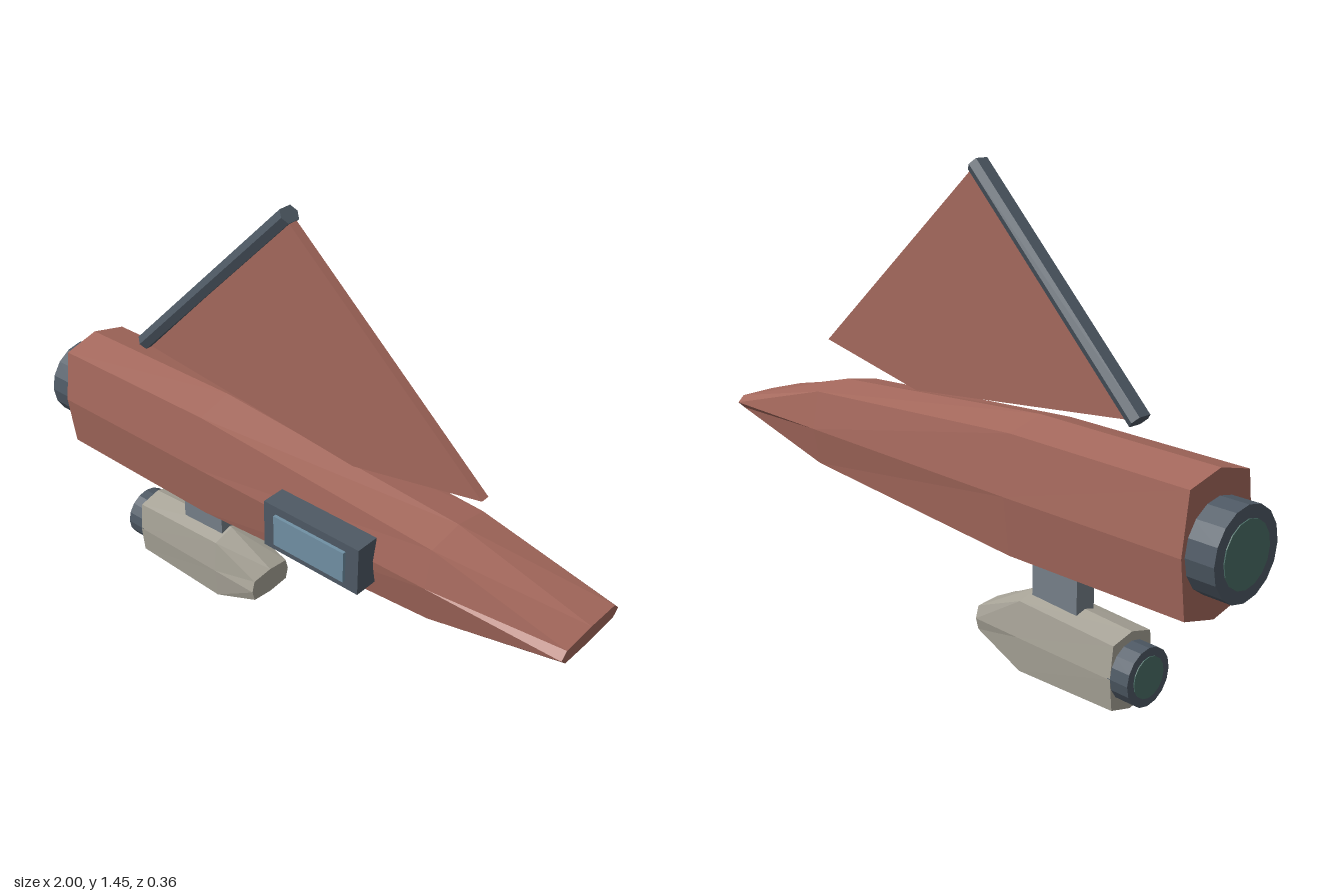
import * as THREE from 'three';

const ZC = -0.037; // centre plane of the hull
const mat = (color) => new THREE.MeshStandardMaterial({ color, flatShading: true });
const red = mat(0xa4685c), dark = mat(0x4e5964), strut = mat(0x757f88);
const stone = mat(0xa8a498), glass = mat(0x7090a4), glow = mat(0x4a6e66);

function add(group, name, geometry, material, x = 0, y = 0, z = ZC) {
  const mesh = new THREE.Mesh(geometry, material);
  mesh.name = name;
  mesh.position.set(x, y, z);
  group.add(mesh);
  return mesh;
}

// Eight-sided body lofted along x; each ring is [x, top, bottom]
function loft(rings, halfWidth, cy, cz) {
  const section = [[1, 0], [cy, cz], [0, 1], [-cy, cz], [-1, 0], [-cy, -cz], [0, -1], [cy, -cz]];
  const pos = [], index = [], n = section.length;
  for (const [x, top, bottom] of rings) {
    const mid = (top + bottom) / 2, half = (top - bottom) / 2;
    for (const [y, z] of section) pos.push(x, mid + y * half, z * halfWidth);
  }
  const last = (rings.length - 1) * n;
  for (let j = 0; j < n; j++) {
    const k = (j + 1) % n;
    for (let r = 0; r < last; r += n) {
      index.push(r + j, r + k, r + n + j, r + k, r + n + k, r + n + j);
    }
    if (j > 0 && j < n - 1) index.push(0, k, j, last, last + j, last + k); // end caps
  }
  const g = new THREE.BufferGeometry();
  g.setAttribute('position', new THREE.Float32BufferAttribute(pos, 3));
  g.setIndex(index);
  const flat = g.toNonIndexed();
  flat.computeVertexNormals();
  return flat;
}

// Prism from an outline, centred in depth
function prism(points, depth) {
  const shape = new THREE.Shape(points.map(([x, y]) => new THREE.Vector2(x, y)));
  return new THREE.ExtrudeGeometry(shape, { depth, bevelEnabled: false }).translate(0, 0, -depth / 2);
}

// Exhaust drum with a glowing disc on its back
function engine(group, name, xBack, xFront, y, radius, discRadius) {
  const drum = (r, len) => new THREE.CylinderGeometry(r, r, len, 16).rotateZ(Math.PI / 2);
  const len = xFront - xBack;
  add(group, name + 'Drum', drum(radius, len), dark, xBack + len / 2, y);
  add(group, name + 'Glow', drum(discRadius, 0.02), glow, xBack + 0.007, y);
}

export function createModel() {
  const group = new THREE.Group();
  group.name = 'spacecraft';

  // Main hull, tapering to a wedge nose
  add(group, 'hull', loft([
    [-0.91, 0.77, 0.37], [-0.3, 0.775, 0.36], [0.57, 0.71, 0.43], [1, 0.595, 0.545],
  ], 0.141, 0.85, 0.84), red);
  engine(group, 'mainEngine', -0.997, -0.9, 0.57, 0.128, 0.092);

  // Pod hung below on a pylon
  add(group, 'pod', loft([
    [-0.65, 0.247, 0.02], [-0.3, 0.264, 0.004], [-0.13, 0.18, 0.09],
  ], 0.085, 0.83, 0.88), stone);
  engine(group, 'podEngine', -0.71, -0.64, 0.135, 0.085, 0.06);
  add(group, 'pylon', new THREE.BoxGeometry(0.17, 0.17, 0.07), strut, -0.395, 0.315);

  // Tail fin with a spar on its slanted back edge
  add(group, 'fin', prism([[-0.615, 0.83], [0.21, 0.745], [0.645, 0.83], [-0.035, 1.42]], 0.03), red);
  const spar = prism([
    [0.033, 0], [0.021, 0.023], [-0.021, 0.023], [-0.033, 0], [-0.021, -0.023], [0.021, -0.023],
  ], 0.857).rotateY(Math.PI / 2);
  add(group, 'finSpar', spar, dark, -0.348, 1.134).rotation.z = Math.PI / 4;

  // Side window
  add(group, 'windowFrame', new THREE.BoxGeometry(0.35, 0.155, 0.079), dark, 0.215, 0.568, 0.13);
  add(group, 'windowGlass', new THREE.BoxGeometry(0.26, 0.102, 0.06), glass, 0.215, 0.568, 0.15);

  return group;
}
